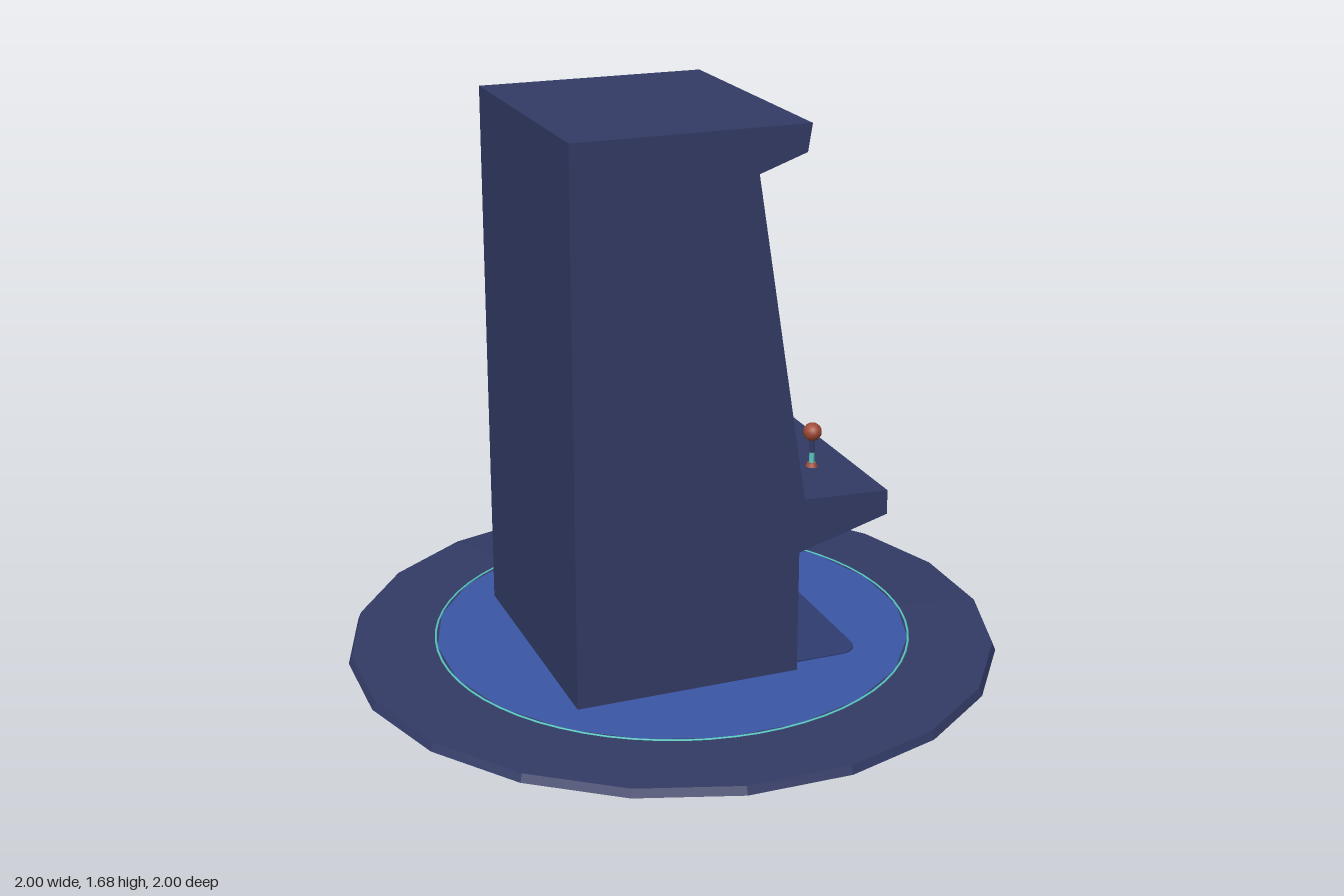
import * as THREE from 'three';

const flat = (color, name, side = THREE.FrontSide) => {
  const m = new THREE.MeshStandardMaterial({ color, side });
  m.name = name;
  return m;
};

export function createModel() {
  const navy = flat(0x333b66, 'navy');
  const navySheet = flat(0x333b66, 'navy sheet', THREE.DoubleSide);
  const blue = flat(0x3a56a6, 'blue', THREE.DoubleSide);
  const shade = flat(0x2e3c70, 'deep blue');
  const teal = flat(0x58c8c0, 'teal');
  const red = flat(0xa04a35, 'brick red');

  const model = new THREE.Group();
  const add = (parent, name, geometry, material, x = 0, y = 0, z = 0) => {
    const mesh = new THREE.Mesh(geometry, material);
    mesh.name = name;
    mesh.position.set(x, y, z);
    parent.add(mesh);
    return mesh;
  };

  // Round platform: hollow faceted rim, blue floor and thin glowing ring
  const rim = new THREE.LatheGeometry(
    [[1, 0], [0.99, 0.024], [0.73, 0.03]].map(p => new THREE.Vector2(...p)), 20).toNonIndexed();
  rim.computeVertexNormals();
  add(model, 'platformRim', rim, navySheet);
  add(model, 'platformFloor', new THREE.CircleGeometry(0.735, 48).rotateX(-Math.PI / 2), blue, 0, 0.0295, 0);
  add(model, 'platformRing', new THREE.TorusGeometry(0.732, 0.004, 6, 64).rotateX(Math.PI / 2), teal, 0, 0.029, 0);

  // Cabinet frame: local +z is the cabinet's front, z = 0 its back
  const cabinet = new THREE.Group();
  cabinet.name = 'cabinet';
  cabinet.position.set(-0.405, 0, -0.2);
  cabinet.rotation.y = 1.109;
  model.add(cabinet);

  const W = 0.828, T = 0.05, inner = W - 2 * T;
  // Extrudes a (z, y) side profile across x, centred on cx
  const slab = (name, points, width, cx = 0) => {
    const shape = new THREE.Shape(points.map(p => new THREE.Vector2(...p)));
    const g = new THREE.ExtrudeGeometry(shape, { depth: width, bevelEnabled: false });
    g.rotateY(-Math.PI / 2).translate(cx + width / 2, 0, 0);
    return add(cabinet, name, g, navy);
  };

  // Side panels, whose sloped edges frame the screen opening
  const profile = [[0, 0], [0.69, 0], [0.69, 0.41], [0.972, 0.49], [0.972, 0.565],
    [0.704, 0.575], [0.547, 1.555], [0.69, 1.605], [0.703, 1.685], [0, 1.685]];
  for (const s of [-1, 1]) slab(s > 0 ? 'leftPanel' : 'rightPanel', profile, T, s * (W - T) / 2);

  // Hood, control shelf with kick plate, back and floor between the sides
  slab('hood', [[0, 1.64], [0.5, 1.64], [0.5, 1.51], [0.554, 1.51], [0.547, 1.555],
    [0.69, 1.605], [0.703, 1.685], [0, 1.685]], inner);
  slab('controlShelf', [[0.65, 0], [0.69, 0], [0.69, 0.41], [0.972, 0.49], [0.972, 0.565],
    [0.704, 0.575], [0.696, 0.625], [0.65, 0.625]], inner);
  add(cabinet, 'backPanel', new THREE.BoxGeometry(inner, 1.64, 0.1), navy, 0, 0.82, 0.05);
  add(cabinet, 'cabinetFloor', new THREE.BoxGeometry(inner, 0.04, 0.55), navy, 0, 0.02, 0.375);

  // Rounded dark mat in front of the kick plate
  const a = 0.37, z0 = 0.6, z1 = 0.92, r = 0.07;
  const mat = new THREE.Shape();
  mat.moveTo(-a, z0);
  mat.lineTo(a, z0);
  mat.lineTo(a, z1 - r);
  mat.quadraticCurveTo(a, z1, a - r, z1);
  mat.lineTo(r - a, z1);
  mat.quadraticCurveTo(-a, z1, -a, z1 - r);
  add(cabinet, 'floorMat',
    new THREE.ExtrudeGeometry(mat, { depth: 0.009, bevelEnabled: false }).rotateX(Math.PI / 2), shade, 0, 0.033, 0);

  // Teal trim along the left side's shelf and screen edges
  const trim = [[0.972, 0.565], [0.704, 0.575], [0.612, 1.15]];
  for (let i = 0; i < 2; i++) {
    const [az, ay] = trim[i], [bz, by] = trim[i + 1];
    const strip = add(cabinet, 'edgeTrim',
      new THREE.BoxGeometry(0.006, 0.009, Math.hypot(bz - az, by - ay)), teal,
      W / 2, (ay + by) / 2, (az + bz) / 2);
    strip.rotation.x = -Math.atan2(by - ay, bz - az);
  }

  // Two joysticks
  for (const x of [-0.167, 0.185]) {
    const stick = new THREE.Group();
    stick.name = 'joystick';
    stick.position.set(x, 0.568, 0.84);
    cabinet.add(stick);
    add(stick, 'stickBase', new THREE.CylinderGeometry(0.014, 0.02, 0.014, 10), red, 0, 0.007, 0);
    add(stick, 'stickCollar', new THREE.CylinderGeometry(0.008, 0.009, 0.035, 8), teal, 0, 0.03, 0);
    add(stick, 'stickShaft', new THREE.CylinderGeometry(0.008, 0.008, 0.05, 8), navy, 0, 0.07, 0);
    add(stick, 'stickBall', new THREE.IcosahedronGeometry(0.029, 1), red, 0, 0.113, 0);
  }

  return model;
}
